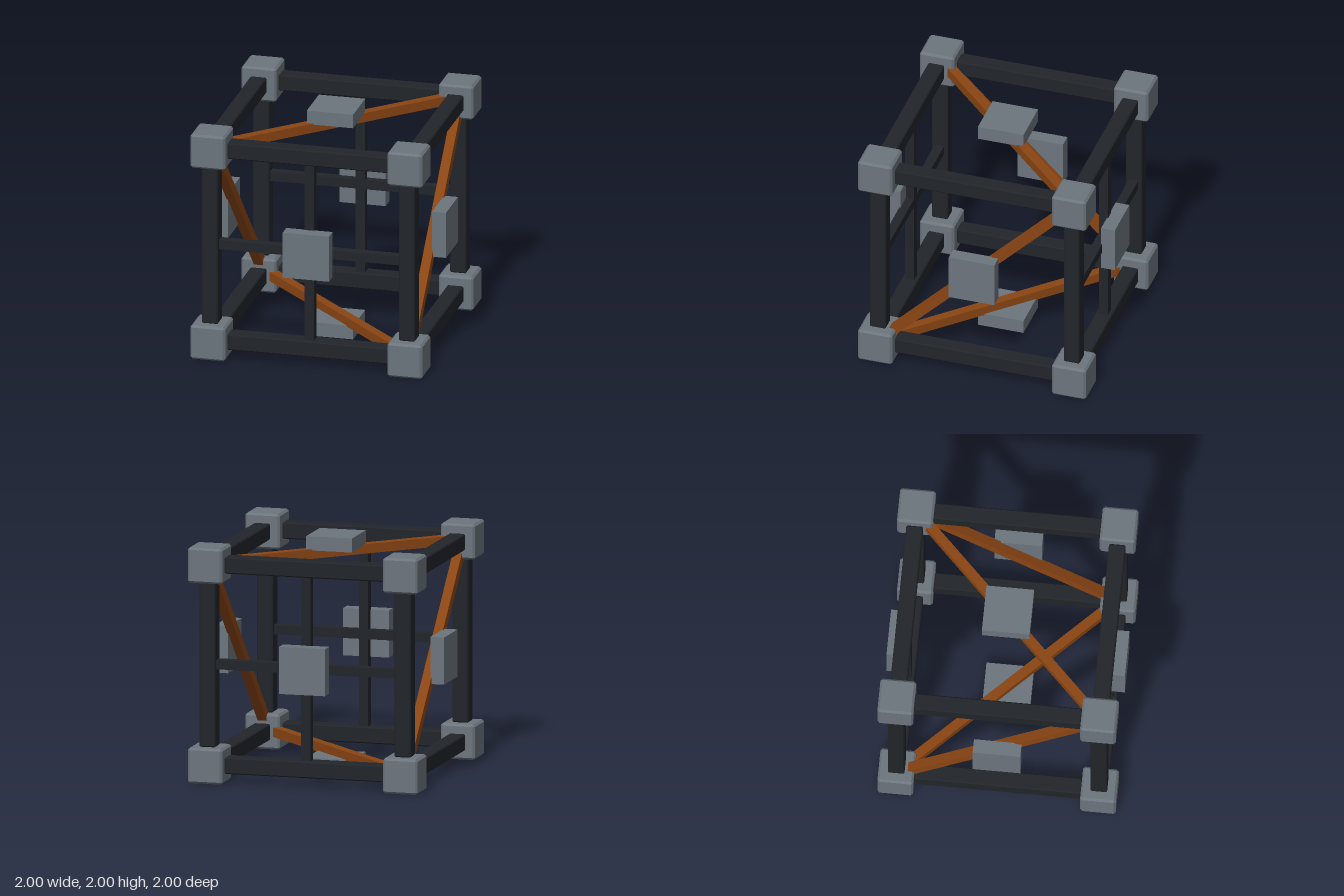
import * as THREE from 'three';
import { ConvexGeometry } from 'three/addons/geometries/ConvexGeometry.js';

const STEEL = new THREE.MeshStandardMaterial({ color: 0x6c757d });
const DARK = new THREE.MeshStandardMaterial({ color: 0x212529 });
const RUST = new THREE.MeshStandardMaterial({ color: 0x8b4513 });
const C = 0.85; // distance from the centre to the frame lines

// Box with flat bevels on every edge
function bevelBox(w, h, d, b) {
  const points = [];
  for (const x of [-1, 1]) for (const y of [-1, 1]) for (const z of [-1, 1]) {
    for (let full = 0; full < 3; full++) {
      const inset = [b, b, b];
      inset[full] = 0;
      points.push(new THREE.Vector3(
        x * (w / 2 - inset[0]), y * (h / 2 - inset[1]), z * (d / 2 - inset[2])));
    }
  }
  return new ConvexGeometry(points);
}

export function createModel() {
  const model = new THREE.Group();
  const frame = new THREE.Group(); // centred on the cube's middle
  frame.name = 'cubeFrame';
  frame.position.y = 1;
  model.add(frame);

  const add = (name, geometry, material, x, y, z) => {
    const mesh = new THREE.Mesh(geometry, material);
    mesh.name = name;
    mesh.position.set(x, y, z);
    frame.add(mesh);
    return mesh;
  };

  // Corner blocks
  const corner = bevelBox(0.3, 0.3, 0.3, 0.018);
  for (const x of [-C, C]) for (const y of [-C, C]) for (const z of [-C, C])
    add('cornerBlock', corner, STEEL, x, y, z);

  // Twelve edge beams
  const beamX = bevelBox(1.4, 0.14, 0.14, 0.01);
  const beamY = bevelBox(0.14, 1.4, 0.14, 0.01);
  const beamZ = bevelBox(0.14, 0.14, 1.4, 0.01);
  for (const a of [-C, C]) for (const b of [-C, C]) {
    add('edgeBeamAcross', beamX, DARK, 0, a, b);
    add('edgeBeamUpright', beamY, DARK, a, 0, b);
    add('edgeBeamDeep', beamZ, DARK, a, b, 0);
  }

  // Centre plates, one per face
  const t = 0.12, p = 1 - t / 2;
  const plateX = new THREE.BoxGeometry(t, 0.4, 0.4);
  const plateY = new THREE.BoxGeometry(0.4, t, 0.4);
  const plateZ = new THREE.BoxGeometry(0.4, 0.4, t);
  for (const s of [-1, 1]) {
    add('sidePlate', plateX, STEEL, s * p, 0, 0);
    add('levelPlate', plateY, STEEL, 0, s * p, 0);
    add('facePlate', plateZ, STEEL, 0, 0, s * p);
  }

  // Crossed bars on the front and back
  const barX = new THREE.BoxGeometry(1.64, 0.08, 0.08);
  const barY = new THREE.BoxGeometry(0.08, 1.64, 0.08);
  for (const z of [-C, C]) {
    add('crossBarLevel', barX, DARK, 0, 0, z);
    add('crossBarUpright', barY, DARK, 0, 0, z);
  }

  // Diagonal braces on the sides, top and bottom
  const brace = new THREE.BoxGeometry(0.08, 0.08, 2.3);
  add('sideBraceLeft', brace, RUST, C, 0, 0).rotation.x = Math.PI / 4;
  add('sideBraceRight', brace, RUST, -C, 0, 0).rotation.x = -Math.PI / 4;
  add('topBrace', brace, RUST, 0, C, 0).rotation.y = -Math.PI / 4;
  add('bottomBrace', brace, RUST, 0, -C, 0).rotation.y = Math.PI / 4;

  return model;
}
